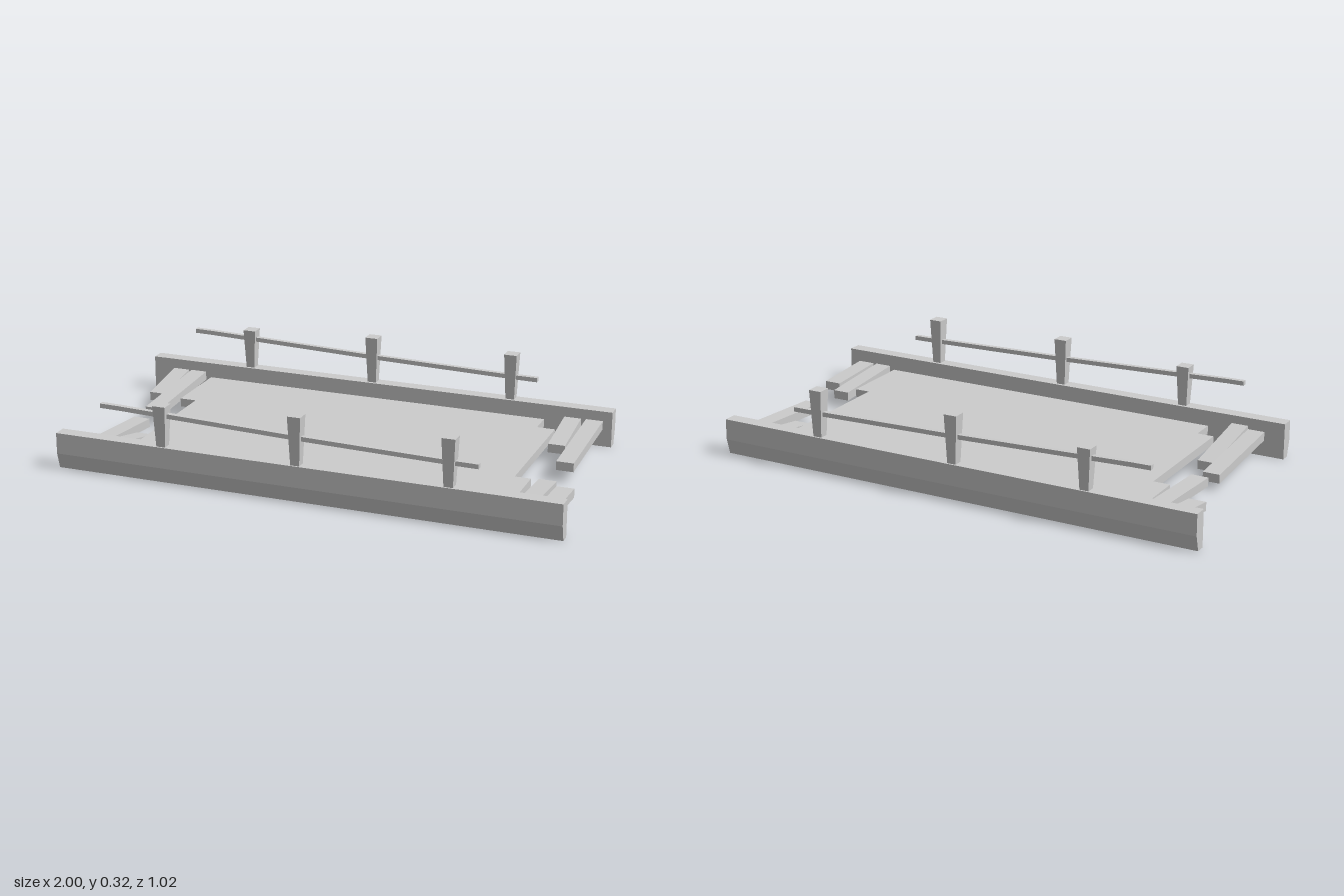
import * as THREE from 'three';

const grey = new THREE.MeshStandardMaterial({ color: 0xcccccc });
grey.name = 'stone grey';

function add(group, geometry, name) {
  const mesh = new THREE.Mesh(geometry, grey);
  mesh.name = name;
  group.add(mesh);
}

// Move every vertex of a geometry by a rule
function reshape(geometry, rule) {
  const p = geometry.attributes.position;
  const v = new THREE.Vector3();
  for (let i = 0; i < p.count; i++) {
    rule(v.fromBufferAttribute(p, i));
    p.setXYZ(i, v.x, v.y, v.z);
  }
  geometry.computeVertexNormals();
  return geometry;
}

const outline = (points) => new THREE.Shape(points.map(([x, y]) => new THREE.Vector2(x, y)));

// Height of the sagging handrail at x
const SAG = [[-0.75, 0.265], [-0.68, 0.264], [0.02, 0.241], [0.59, 0.228], [0.695, 0.227]];
function sagHeight(x) {
  let i = 0;
  while (i < SAG.length - 2 && x > SAG[i + 1][0]) i++;
  const [x0, y0] = SAG[i], [x1, y1] = SAG[i + 1];
  return y0 + (y1 - y0) * (x - x0) / (x1 - x0);
}

// One side beam with its posts and handrail
function createSide(name, side, shift) {
  const group = new THREE.Group();
  group.name = name;
  const profile = [[0.457, 0], [0.493, 0], [0.51, 0.06], [0.51, 0.14], [0.457, 0.14]];
  const beam = new THREE.ExtrudeGeometry(outline(profile.map(([z, y]) => [z * side, y])),
    { depth: 1.93, bevelEnabled: false });
  beam.rotateY(-Math.PI / 2).translate(1 + shift, 0, 0);
  add(group, beam, 'sideBeam');

  // Posts widen towards the top
  for (const [x, top] of [[-0.505, 0.296], [0.02, 0.324], [0.59, 0.32]]) {
    const h = top - 0.135;
    const post = reshape(new THREE.BoxGeometry(0.05, h, 0.05, 1, 1, 1), (v) => {
      if (v.y < 0) { v.x *= 0.68; v.z *= 0.68; }
    });
    post.translate(x + shift, 0.135 + h / 2, 0.486 * side);
    add(group, post, 'post');
  }

  const rail = reshape(new THREE.BoxGeometry(1.445, 0.017, 0.019, 20, 1, 1), (v) => {
    v.x -= 0.0275;
    v.y += sagHeight(v.x);
  });
  rail.translate(shift, 0, 0.486 * side);
  add(group, rail, 'handrail');
  return group;
}

// Loose plank leaning from a beam to a free end
function createPlank(group, x, endX, beamZ, endZ, beamTop, endTop) {
  const plank = reshape(new THREE.BoxGeometry(0.066, 0.034, 1), (v) => {
    const t = v.z + 0.5;
    v.x += x + (endX - x) * t;
    v.y += beamTop + (endTop - beamTop) * t - 0.017;
    v.z = beamZ + (endZ - beamZ) * t;
  });
  // Planks running towards -z swap their winding
  if (endZ < beamZ) {
    const index = plank.index.array;
    for (let i = 0; i < index.length; i += 3) {
      [index[i + 1], index[i + 2]] = [index[i + 2], index[i + 1]];
    }
    plank.computeVertexNormals();
  }
  add(group, plank, 'loosePlank');
}

export function createModel() {
  const model = new THREE.Group();
  model.name = 'brokenBridge';

  // Deck slab with stepped ends
  const deck = new THREE.ExtrudeGeometry(outline([
    [-0.75, -0.46], [0.66, -0.46], [0.66, -0.36], [0.73, -0.36], [0.73, 0.17], [0.79, 0.17],
    [0.79, 0.46], [-0.62, 0.46], [-0.62, 0.36], [-0.685, 0.36], [-0.685, -0.17], [-0.75, -0.17],
  ]), { depth: 0.033, bevelEnabled: false });
  deck.rotateX(Math.PI / 2).translate(0, 0.08, 0);
  add(model, deck, 'deck');

  model.add(createSide('frontSide', 1, 0), createSide('backSide', -1, -0.073));

  // Loose planks: x, endX, beamZ, endZ, beamTop, endTop
  const planks = new THREE.Group();
  planks.name = 'loosePlanks';
  [
    [-0.882, -0.882, -0.465, -0.23, 0.102, 0.068],
    [-0.805, -0.805, -0.465, -0.037, 0.102, 0.078],
    [0.773, 0.773, -0.465, -0.23, 0.102, 0.068],
    [0.858, 0.858, -0.465, -0.037, 0.102, 0.078],
    [-0.817, -0.814, 0.465, 0.045, 0.096, 0.062],
    [-0.75, -0.737, 0.465, 0.173, 0.11, 0.05],
    [0.843, 0.843, 0.465, 0.14, 0.094, 0.071],
    [0.925, 0.925, 0.465, 0.203, 0.093, 0.078],
  ].forEach((p) => createPlank(planks, ...p));
  model.add(planks);
  return model;
}
